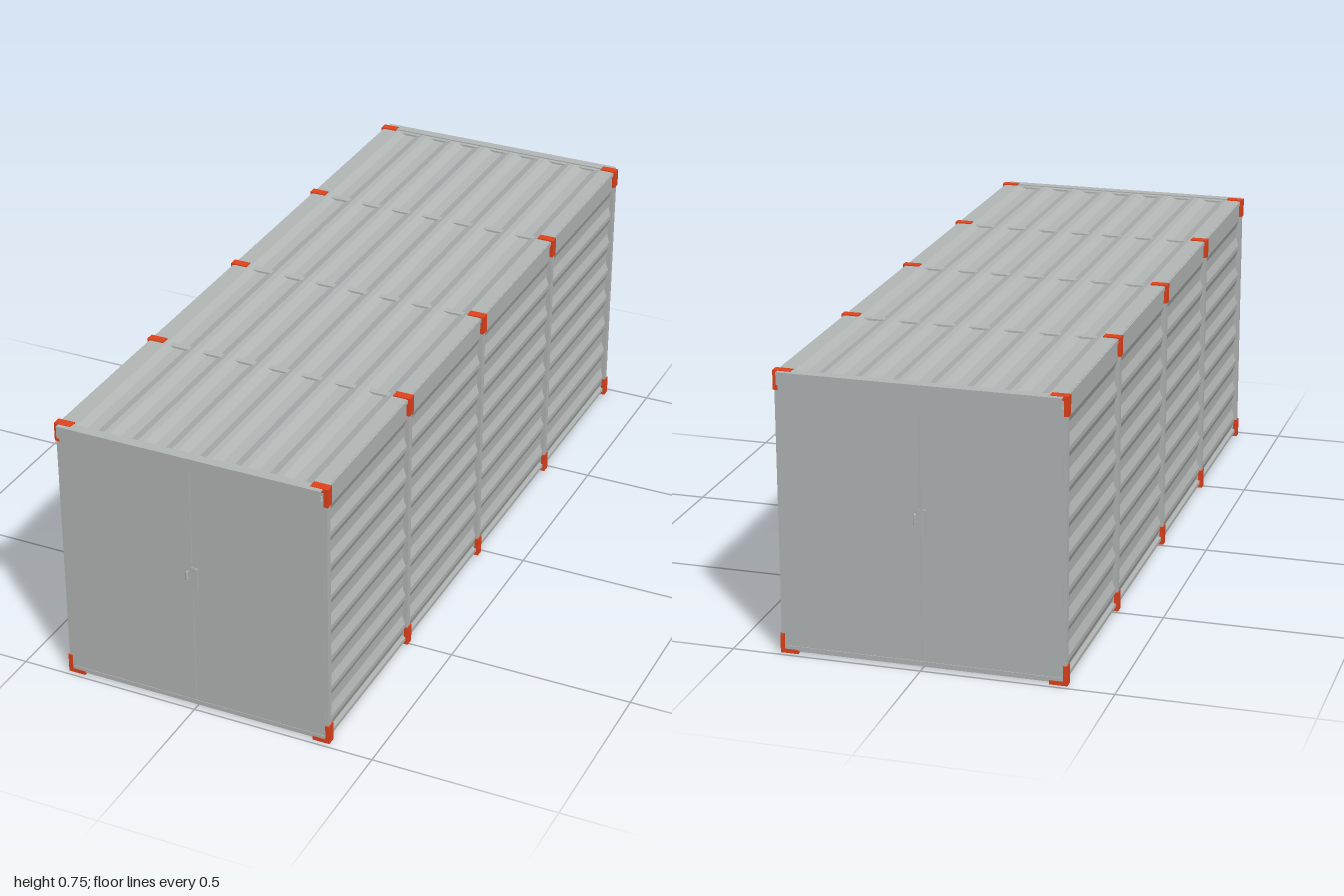
import * as THREE from 'three';

export function createModel() {
  const root = new THREE.Group();
  root.name = 'cargoContainer';

  const mat = (name, color) => {
    const m = new THREE.MeshStandardMaterial({ color });
    m.name = name;
    return m;
  };
  const grey = mat('panelGrey', 0xb2b6b5);
  const orange = mat('cornerOrange', 0xe0421c);
  const brown = mat('floorBrown', 0xac8769);

  // box given by its extents on each axis
  const box = (parent, name, m, x0, x1, y0, y1, z0, z1) => {
    const mesh = new THREE.Mesh(new THREE.BoxGeometry(x1 - x0, y1 - y0, z1 - z0), m);
    mesh.position.set((x0 + x1) / 2, (y0 + y1) / 2, (z0 + z1) / 2);
    mesh.name = name;
    parent.add(mesh);
  };

  // trapezoid ribs as [distance along, height] from a to b, cut off at b
  const DEPTH = 0.009;
  const ribProfile = (a, b, first, count, period) => {
    const pts = [[a, DEPTH]];
    for (let i = 0; i < count; i++) {
      const c = first + i * period;
      pts.push([c, DEPTH], [c + 0.024, 0], [c + 0.054, 0], [c + 0.078, DEPTH]);
    }
    const kept = pts.filter(([t]) => t < b);
    return [...kept, [b, kept.at(-1)[1]]];
  };

  // corrugated sheet extruded along z; place maps (along, height) to x, y
  const sheet = (name, profile, place) => {
    const back = profile.map(([t, h]) => [t, h - 0.004]).reverse();
    const shape = new THREE.Shape([...profile, ...back].map(([t, h]) => new THREE.Vector2(...place(t, h))));
    const geo = new THREE.ExtrudeGeometry(shape, { depth: 1.94, bevelEnabled: false });
    geo.translate(0, 0, -0.97);
    const mesh = new THREE.Mesh(geo, grey);
    mesh.name = name;
    root.add(mesh);
  };

  // roof and side walls
  sheet('roof', ribProfile(-0.366, 0.366, -0.322, 7, 0.095), (t, h) => [t, 0.738 + h]);
  const wall = ribProfile(-0.735, -0.015, -0.687, 8, 0.0911);
  for (const s of [-1, 1]) {
    sheet(s > 0 ? 'leftWall' : 'rightWall', wall, (t, h) => [s * (0.358 + h), -t]);
    // long rails along the roof and floor edges
    box(root, 'topRail', grey, s * 0.364 - 0.006, s * 0.364 + 0.006, 0.735, 0.746, -0.97, 0.97);
    box(root, 'bottomRail', grey, s * 0.364 - 0.006, s * 0.364 + 0.006, 0.012, 0.022, -0.97, 0.97);
  }

  // floor
  box(root, 'floor', brown, -0.36, 0.36, 0.012, 0.02, -0.97, 0.97);

  // frame hoops with L-shaped corner fittings
  for (const z of [-0.975, -0.48, 0.018, 0.495, 0.975]) {
    const hoop = new THREE.Group();
    hoop.name = 'frameHoop';
    hoop.position.z = z;
    root.add(hoop);
    box(hoop, 'roofBeam', grey, -0.365, 0.365, 0.728, 0.743, -0.009, 0.009);
    box(hoop, 'floorBeam', grey, -0.365, 0.365, 0.006, 0.018, -0.009, 0.009);
    for (const s of [-1, 1]) {
      const span = (a, b) => (s > 0 ? [a, b] : [-b, -a]);
      box(hoop, 'post', grey, ...span(0.36, 0.373), 0.02, 0.73, -0.009, 0.009);
      for (const [y0, y1, f0, f1] of [[0, 0.052, 0, 0.011], [0.699, 0.75, 0.739, 0.75]]) {
        box(hoop, 'cornerUpright', orange, ...span(0.365, 0.376), y0, y1, -0.012, 0.012);
        box(hoop, 'cornerFoot', orange, ...span(0.329, 0.365), f0, f1, -0.012, 0.012);
      }
    }
  }

  // doors, header and handles on each end
  for (const turn of [0, Math.PI]) {
    const end = new THREE.Group();
    end.name = turn ? 'backEnd' : 'frontEnd';
    end.rotation.y = turn;
    root.add(end);
    // header channel, open at its ends
    box(end, 'headerFace', grey, -0.363, 0.363, 0.716, 0.749, 0.997, 1);
    box(end, 'headerTop', grey, -0.363, 0.363, 0.746, 0.749, 0.972, 0.997);
    box(end, 'headerUnderside', grey, -0.363, 0.363, 0.716, 0.719, 0.985, 0.997);
    box(end, 'sill', grey, -0.362, 0.362, 0.01, 0.02, 0.968, 0.986);
    box(end, 'rightDoor', grey, -0.364, -0.001, 0.0205, 0.722, 0.974, 0.985);
    box(end, 'leftDoor', grey, 0.001, 0.364, 0.0205, 0.722, 0.974, 0.985);
    box(end, 'lockPlate', grey, -0.003, 0.011, 0.36, 0.425, 0.985, 0.987);
    box(end, 'lockBar', grey, 0.011, 0.016, 0.36, 0.425, 0.985, 0.992);
    // pull handle with two stand-offs
    const handle = new THREE.Mesh(new THREE.CapsuleGeometry(0.003, 0.024, 4, 10), grey);
    handle.name = 'handleBar';
    handle.position.set(-0.012, 0.4, 0.993);
    end.add(handle);
    for (const y of [0.388, 0.408]) {
      box(end, 'handleMount', grey, -0.014, -0.01, y, y + 0.005, 0.985, 0.992);
    }
  }
  return root;
}
